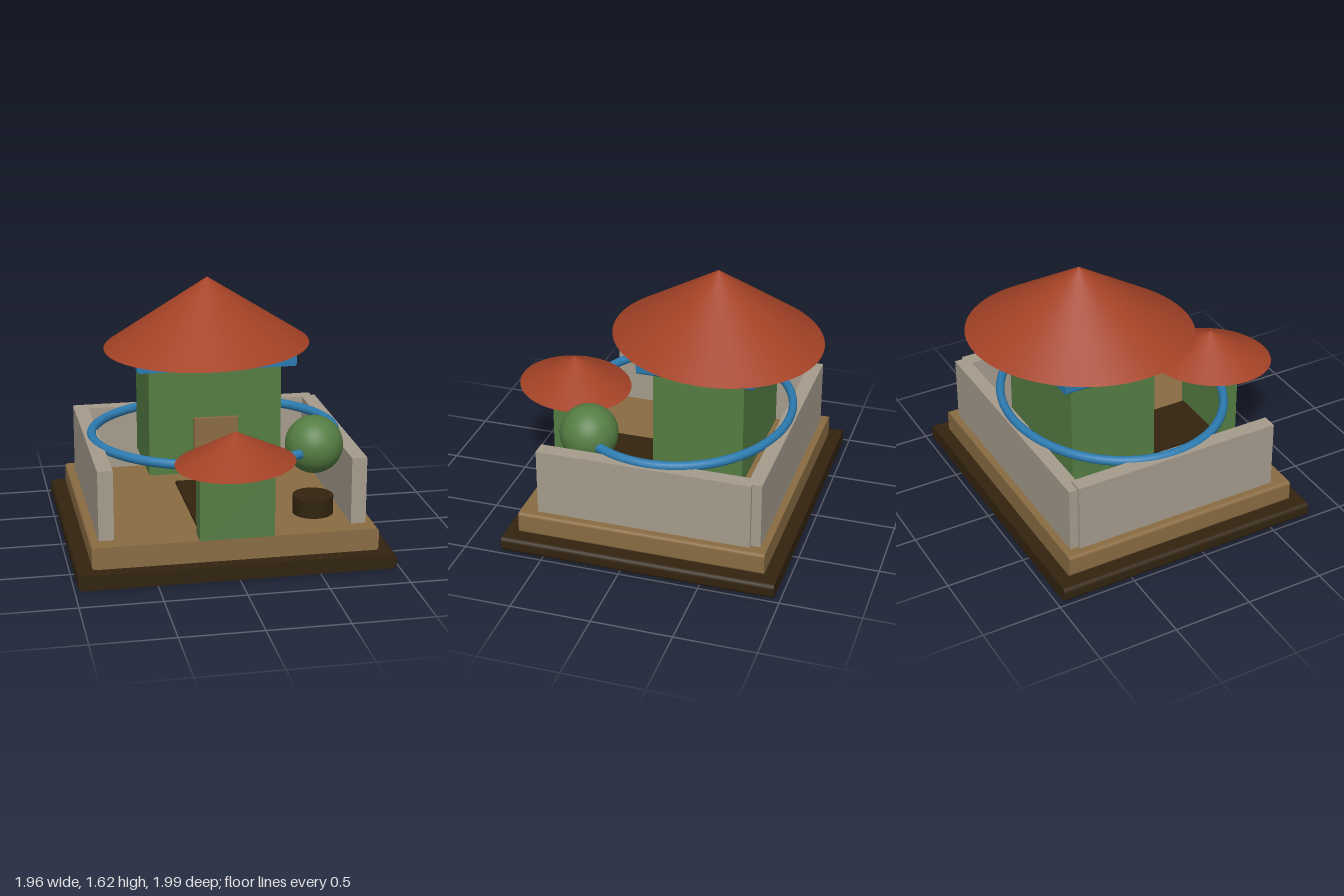
import * as THREE from 'three';

function material(name, color) {
  const m = new THREE.MeshStandardMaterial({ color });
  m.name = name;
  return m;
}

export function createModel() {
  const model = new THREE.Group();
  model.name = 'walledHouse';

  const darkWood = material('dark wood', 0x32230f);
  const tan = material('tan earth', 0x8a6c43);
  const stone = material('pale stone', 0xa69c8d);
  const green = material('green', 0x557d43);
  const red = material('roof red', 0xa34226);
  const blue = material('blue', 0x2c7bb0);

  function add(name, geometry, mat, x, y, z) {
    const mesh = new THREE.Mesh(geometry, mat);
    mesh.name = name;
    mesh.position.set(x, y, z);
    model.add(mesh);
    return mesh;
  }

  // Box given by its limits on each axis
  function box(name, mat, [x0, x1], [y0, y1], [z0, z1]) {
    return add(name, new THREE.BoxGeometry(x1 - x0, y1 - y0, z1 - z0), mat,
      (x0 + x1) / 2, (y0 + y1) / 2, (z0 + z1) / 2);
  }

  // Slab whose long edges along z are rounded
  function slab(name, mat, halfWidth, [y0, y1], [z0, z1], r) {
    const w = halfWidth;
    const s = new THREE.Shape();
    s.moveTo(-w + r, y0);
    s.lineTo(w - r, y0);
    s.absarc(w - r, y0 + r, r, -Math.PI / 2, 0);
    s.absarc(w - r, y1 - r, r, 0, Math.PI / 2);
    s.absarc(-w + r, y1 - r, r, Math.PI / 2, Math.PI);
    s.absarc(-w + r, y0 + r, r, Math.PI, Math.PI * 1.5);
    const g = new THREE.ExtrudeGeometry(s, { depth: z1 - z0, bevelEnabled: false, curveSegments: 5 });
    return add(name, g, mat, 0, 0, z0);
  }

  // Oval cone roof, turned so its long axis lies diagonally
  function roof(name, y0, y1, z, longRadius, shortRadius) {
    const cone = add(name, new THREE.ConeGeometry(1, y1 - y0, 64), red, 0, (y0 + y1) / 2, z);
    cone.scale.set(longRadius, 1, shortRadius);
    cone.rotation.y = Math.PI / 4;
    return cone;
  }

  // Ground layers
  slab('base', darkWood, 0.98, [0, 0.095], [-0.96, 0.77], 0.03);
  slab('terrace', tan, 0.885, [0.095, 0.235], [-0.875, 0.685], 0.02);

  // Courtyard walls, open at the front
  box('rightWall', stone, [-0.83, -0.735], [0.235, 0.675], [-0.775, 0.575]);
  box('leftWall', stone, [0.735, 0.83], [0.235, 0.66], [-0.77, 0.575]);
  box('backWall', stone, [-0.81, 0.805], [0.235, 0.66], [-0.83, -0.74]);

  // Main house
  box('house', green, [-0.425, 0.425], [0.41, 1.11], [-0.61, -0.04]);
  box('door', tan, [-0.14, 0.14], [0.41, 0.78], [-0.05, -0.01]);
  slab('eaves', blue, 0.508, [1.11, 1.185], [-0.685, 0.04], 0.018);
  roof('houseRoof', 1.185, 1.625, -0.325, 0.714, 0.634);

  // Gatehouse and the path behind it
  box('gatehouse', green, [-0.23, 0.23], [0.235, 0.7], [0.555, 0.69]);
  roof('gateRoof', 0.7, 0.893, 0.62, 0.4, 0.349);
  box('path', darkWood, [-0.21, 0.21], [0.235, 0.25], [-0.35, 0.56]);

  // Oval ring round the courtyard
  const ringGeometry = new THREE.TorusGeometry(0.78, 0.03, 16, 96);
  ringGeometry.rotateX(Math.PI / 2);
  add('ring', ringGeometry, blue, 0, 0.668, -0.11).scale.z = 0.877;

  // Tree crown over its pot
  add('treeCrown', new THREE.SphereGeometry(0.181, 40, 24), green, 0.553, 0.685, 0.33);
  add('pot', new THREE.CylinderGeometry(0.128, 0.128, 0.115, 40), darkWood, 0.553, 0.2925, 0.33);

  return model;
}
